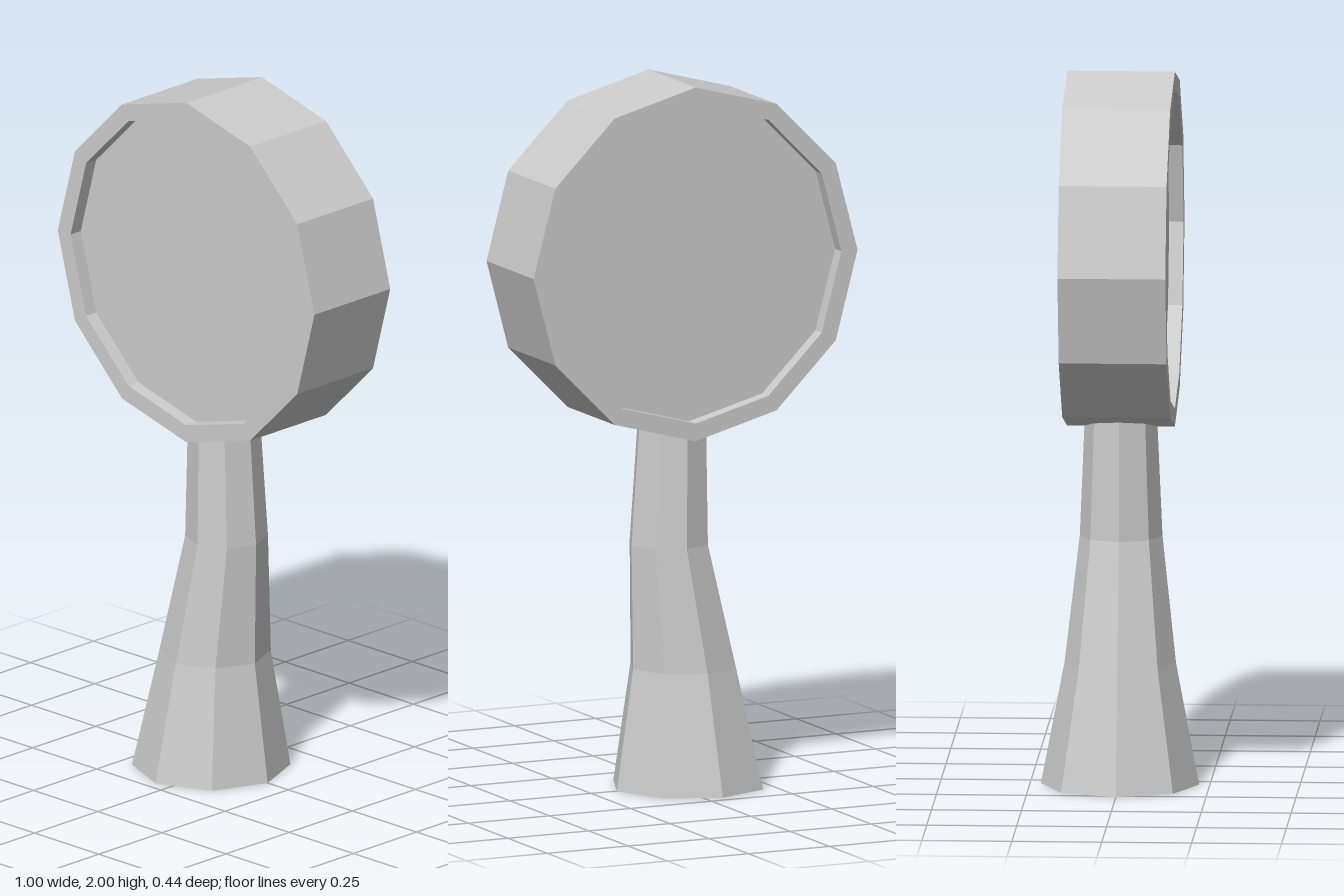
import * as THREE from 'three';

const grey = new THREE.MeshStandardMaterial({ color: 0xcccccc, flatShading: true });

function addPart(group, name, geometry) {
  const mesh = new THREE.Mesh(geometry, grey);
  mesh.name = name;
  group.add(mesh);
  return mesh;
}

// Turns a [radius, z] profile into a twelve-sided disc facing the front
function disc(profile) {
  const points = profile.map(([r, z]) => new THREE.Vector2(r, z));
  return new THREE.LatheGeometry(points, 12).rotateX(Math.PI / 2);
}

// Eight-sided handle, bent and tapered through [y, centre x, radius] rings
function bentHandle(rings) {
  const steps = rings.length - 1;
  const geometry = new THREE.CylinderGeometry(1, 1, steps, 8, steps);
  const pos = geometry.attributes.position;
  for (let i = 0; i < pos.count; i++) {
    const [y, cx, r] = rings[Math.round(pos.getY(i) + steps / 2)];
    pos.setXYZ(i, cx + pos.getX(i) * r, y, pos.getZ(i) * r);
  }
  geometry.computeVertexNormals();
  return geometry;
}

export function createModel() {
  const model = new THREE.Group();
  model.name = 'handMirror';

  // Round head: raised rim around a recessed pane on both sides
  const head = new THREE.Group();
  head.name = 'head';
  head.position.y = 1.5;
  addPart(head, 'rim', disc([[0.45, -0.11], [0.45, -0.15], [0.5, -0.15], [0.5, 0.15], [0.45, 0.15], [0.45, 0.11]]));
  addPart(head, 'pane', disc([[0, -0.11], [0.45, -0.11], [0.45, 0.11], [0, 0.11]]).scale(1, 1, 1));
  model.add(head);

  // Handle flares to a flat foot
  addPart(model, 'handle', bentHandle([
    [0, -0.05, 0.22],
    [0.34, -0.035, 0.155],
    [0.69, 0.01, 0.115],
    [1.04, 0, 0.1],
  ]));

  return model;
}
